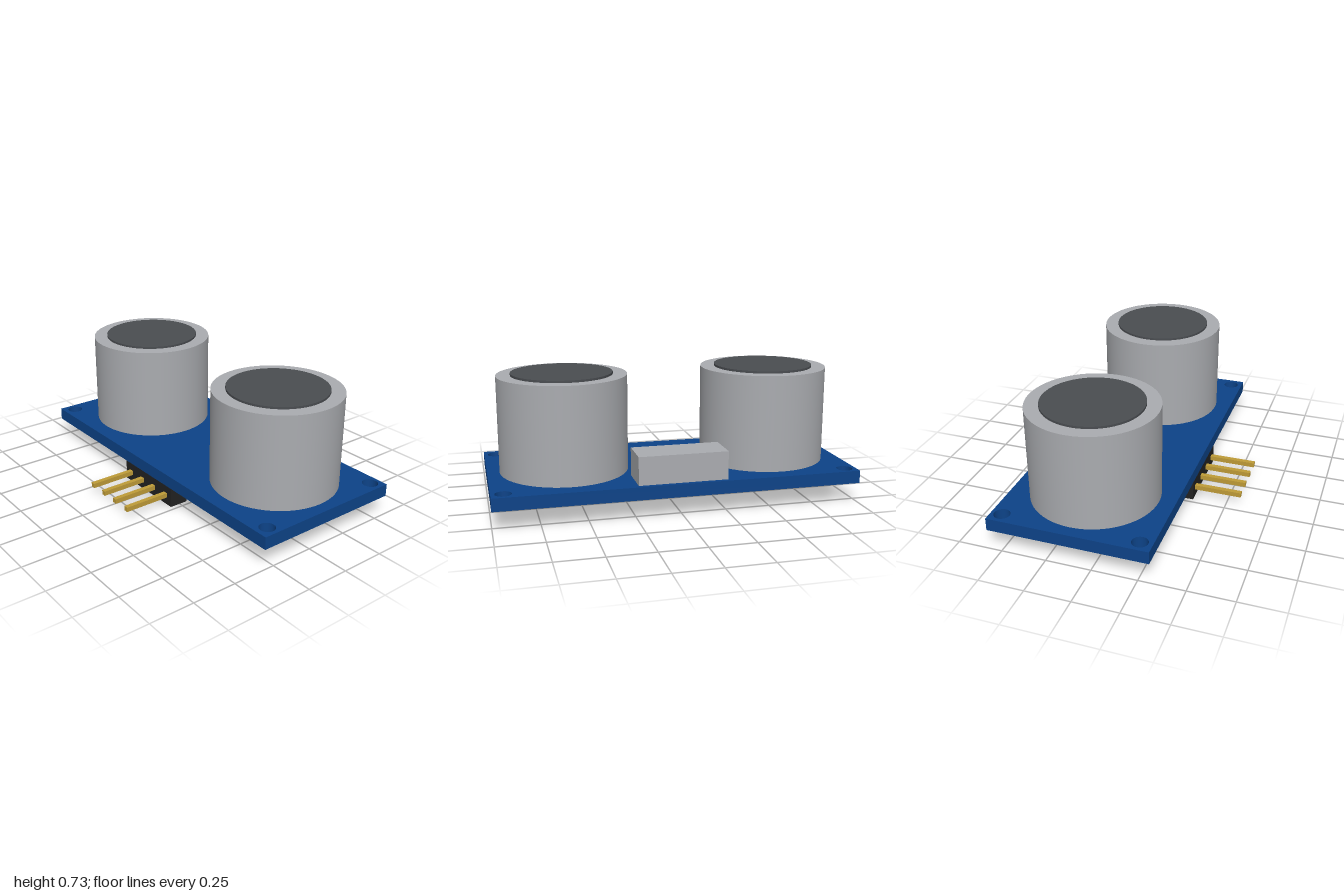
import * as THREE from 'three';

function material(name, color) {
  const m = new THREE.MeshStandardMaterial({ color });
  m.name = name;
  return m;
}

export function createModel() {
  const blue = material('board blue', 0x0d4388);
  const silver = material('silver', 0xaaacb0);
  const grey = material('dark grey', 0x4a4d51);
  const black = material('black', 0x222222);
  const gold = material('gold', 0xbf9c38);

  const model = new THREE.Group();
  model.name = 'ultrasonicSensor';

  function add(name, geometry, mat, x, y, z) {
    const mesh = new THREE.Mesh(geometry, mat);
    mesh.name = name;
    mesh.position.set(x, y, z);
    model.add(mesh);
  }

  // Box given by its lower and upper corners
  function box(name, mat, [x0, y0, z0], [x1, y1, z1]) {
    add(name, new THREE.BoxGeometry(x1 - x0, y1 - y0, z1 - z0), mat,
      (x0 + x1) / 2, (y0 + y1) / 2, (z0 + z1) / 2);
  }

  // Circuit board with four mounting holes (shape y becomes -z)
  const bottom = 0.115, top = 0.186;
  const outline = new THREE.Shape([
    new THREE.Vector2(-1, -0.31), new THREE.Vector2(1, -0.31),
    new THREE.Vector2(1, 0.577), new THREE.Vector2(-1, 0.577),
  ]);
  for (const x of [-0.935, 0.935]) {
    for (const y of [-0.241, 0.515]) {
      outline.holes.push(new THREE.Path().absarc(x, y, 0.044, 0, Math.PI * 2, true));
    }
  }
  const board = new THREE.ExtrudeGeometry(outline, {
    depth: top - bottom, bevelEnabled: false, curveSegments: 32,
  });
  board.rotateX(-Math.PI / 2);
  add('circuitBoard', board, blue, 0, bottom, 0);

  // Transducer cans with a slightly raised dark mesh disc
  for (const side of [-1, 1]) {
    const label = side > 0 ? 'left' : 'right';
    const x = side * 0.577, z = -0.135;
    add(label + 'Can', new THREE.CylinderGeometry(0.355, 0.355, 0.533, 64), silver, x, top + 0.2665, z);
    add(label + 'MeshDisc', new THREE.CylinderGeometry(0.277, 0.277, 0.03, 64), grey, x, 0.716, z);
  }

  // Crystal at the rear edge
  box('crystal', silver, [-0.244, top, -0.553], [0.244, 0.341, -0.355]);

  // Pin header under the front edge
  box('pinHeader', black, [-0.223, 0, 0.2], [0.223, bottom, 0.31]);
  for (let i = 0; i < 4; i++) {
    const x = (i - 1.5) * 0.114;
    box('pin' + (i + 1), gold, [x - 0.0135, 0.044, 0.3], [x + 0.0135, 0.071, 0.577]);
  }

  return model;
}
